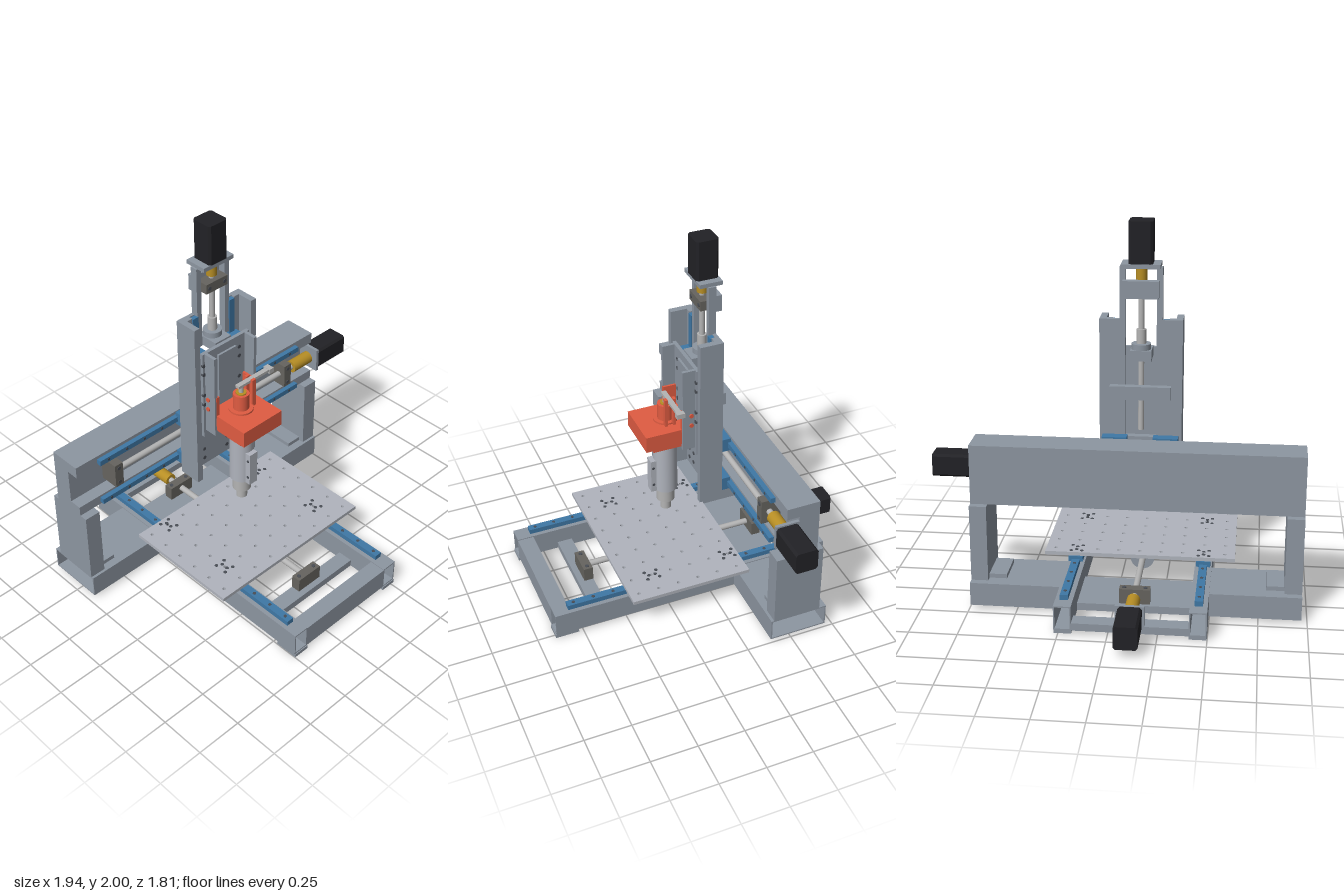
import * as THREE from 'three';

const mat = (color) => new THREE.MeshStandardMaterial({ color });
const M = {
  frame: mat(0x8d96a1), plate: mat(0xb0b4bd), blue: mat(0x3f78a6), black: mat(0x222226),
  gold: mat(0xb88f25), red: mat(0xe05c42), dark: mat(0x66645f), steel: mat(0xb4b4b4), bolt: mat(0x4a4e55),
};
const CX = -0.113; // shared x of the spindle and lead screws

export function createModel() {
  const root = new THREE.Group();

  const add = (name, geo, m) => {
    const mesh = new THREE.Mesh(geo, m);
    mesh.name = name;
    root.add(mesh);
    return mesh;
  };
  // box given by its min and max on each axis
  const box = (name, m, x0, x1, y0, y1, z0, z1) => {
    const b = add(name, new THREE.BoxGeometry(x1 - x0, y1 - y0, z1 - z0), m);
    b.position.set((x0 + x1) / 2, (y0 + y1) / 2, (z0 + z1) / 2);
    return b;
  };
  // cylinder along an axis, from a to b; p and q are the other two coordinates in x, y, z order
  const rod = (name, m, axis, r, a, b, p, q, sides = 24) => {
    const c = add(name, new THREE.CylinderGeometry(r, r, b - a, sides), m);
    const mid = (a + b) / 2;
    if (axis === 'x') { c.rotation.z = Math.PI / 2; c.position.set(mid, p, q); }
    if (axis === 'y') c.position.set(p, mid, q);
    if (axis === 'z') { c.rotation.x = Math.PI / 2; c.position.set(p, q, mid); }
    return c;
  };
  const rectPath = (P, w, h) => {
    const p = new P();
    p.moveTo(-w / 2, -h / 2); p.lineTo(w / 2, -h / 2); p.lineTo(w / 2, h / 2); p.lineTo(-w / 2, h / 2);
    p.closePath();
    return p;
  };
  // open-ended rectangular tube along z, or along x when turned
  const tube = (name, x0, x1, y0, y1, z0, z1, alongX = false, t = 0.007) => {
    const w = alongX ? z1 - z0 : x1 - x0, h = y1 - y0, len = alongX ? x1 - x0 : z1 - z0;
    const s = rectPath(THREE.Shape, w, h);
    s.holes.push(rectPath(THREE.Path, w - 2 * t, h - 2 * t));
    const g = new THREE.ExtrudeGeometry(s, { depth: len, bevelEnabled: false });
    g.translate(0, 0, -len / 2);
    if (alongX) g.rotateY(Math.PI / 2);
    add(name, g, M.frame).position.set((x0 + x1) / 2, (y0 + y1) / 2, (z0 + z1) / 2);
  };
  // stepper motor with chamfered corners, running along +z from its centre before turning
  const motor = (name, len, x, y, z, rx, ry) => {
    const a = 0.061, c = 0.049;
    const s = new THREE.Shape([[a, -c], [a, c], [c, a], [-c, a], [-a, c], [-a, -c], [-c, -a], [c, -a]]
      .map(([u, v]) => new THREE.Vector2(u, v)));
    const g = new THREE.ExtrudeGeometry(s, { depth: len, bevelEnabled: false });
    const m = add(name, g, M.black);
    m.position.set(x, y, z);
    m.rotation.set(rx, ry, 0);
  };

  // base frame: two long tubes with feet, linear rails and carriages
  for (const x of [-0.453, 0.228]) {
    tube('baseRailTube', x - 0.045, x + 0.045, 0.02, 0.15, -0.685, 0.9);
    for (const z of [-0.615, 0.84]) box('footPlate', M.frame, x - 0.045, x + 0.045, 0, 0.02, z - 0.065, z + 0.065);
    box('tableRail', M.blue, x - 0.021, x + 0.021, 0.15, 0.178, -0.61, 0.82);
    for (let i = 0; i < 13; i++) rod('railBolt', M.bolt, 'y', 0.009, 0.17, 0.18, x, -0.56 + i * 0.112, 8);
    for (const z of [-0.11, 0.335]) {
      box('tableCarriage', M.blue, x - 0.038, x + 0.038, 0.165, 0.195, z - 0.065, z + 0.065);
      for (const dx of [-0.028, 0, 0.028]) for (const dz of [-0.034, 0.034])
        rod('tableBolt', M.bolt, 'y', 0.01, 0.2, 0.2165, x + dx, z + dz + (dx ? 0 : Math.sign(dz) * -0.016), 10);
    }
  }
  tube('frontCrossTube', -0.41, 0.185, 0.02, 0.145, 0.81, 0.9, true);
  for (const [z0, z1] of [[0.585, 0.67], [-0.685, -0.6], [-0.455, -0.135]])
    tube('lowCrossTube', -0.41, 0.185, 0.02, 0.06, z0, z1, true);

  // gantry: feet, legs and a channel beam open to the front
  tube('gantryFoot', -0.97, -0.498, 0.02, 0.145, -0.455, -0.135, true);
  tube('gantryFoot', 0.273, 0.745, 0.02, 0.145, -0.455, -0.135, true);
  for (const s of [-1, 1]) {
    const mx = (a, b) => [-0.1125 + s * a, -0.1125 + s * b].sort((p, q) => p - q);
    box('gantryLeg', M.frame, ...mx(0.768, 0.8575), 0.145, 0.557, -0.415, -0.15);
    box('legBracket', M.frame, ...mx(0.675, 0.768), 0.145, 0.168, -0.38, -0.18);
  }
  box('beamBack', M.frame, -0.97, 0.745, 0.557, 0.875, -0.378, -0.265);
  for (const [y0, y1, yr] of [[0.81, 0.875, 0.842], [0.557, 0.612, 0.585]]) {
    box('beamFlange', M.frame, -0.97, 0.745, y0, y1, -0.265, -0.195);
    box('beamRail', M.blue, -0.835, 0.61, yr - 0.015, yr + 0.015, -0.195, -0.168);
    for (let i = 0; i < 12; i++) rod('railBolt', M.bolt, 'z', 0.008, -0.175, -0.166, -0.78 + i * 0.12, yr, 8);
    for (const x of [-0.245, 0.02])
      box('beamCarriage', M.blue, x - 0.065, x + 0.065, yr - 0.038, yr + 0.038, -0.185, -0.13);
  }

  // cross axis drive
  rod('crossScrew', M.steel, 'x', 0.017, -0.75, 0.6, 0.715, -0.2);
  for (const x of [-0.73, 0.513]) {
    box('crossBearing', M.dark, x - 0.026, x + 0.026, 0.645, 0.785, -0.265, -0.155);
    for (const y of [0.67, 0.76]) rod('bearingBolt', M.bolt, 'z', 0.011, -0.16, -0.152, x, y, 10);
  }
  rod('crossCoupler', M.gold, 'x', 0.036, 0.585, 0.725, 0.715, -0.2);
  box('crossMotorMount', M.frame, 0.73, 0.748, 0.645, 0.785, -0.265, -0.135);
  motor('crossMotor', 0.222, 0.745, 0.715, -0.198, 0, Math.PI / 2);
  box('crossNutBlock', M.frame, -0.17, -0.05, 0.67, 0.76, -0.24, -0.13);

  // table axis drive
  rod('tableScrew', M.steel, 'z', 0.017, -0.5, 0.63, CX, 0.105);
  for (const z of [-0.41, 0.61]) {
    box('tableBearing', M.dark, CX - 0.08, CX + 0.08, 0.06, 0.14, z - 0.026, z + 0.026);
    for (const dx of [-0.055, 0.055]) rod('bearingBolt', M.bolt, 'y', 0.011, 0.135, 0.143, CX + dx, z, 10);
  }
  rod('tableCoupler', M.gold, 'z', 0.035, -0.665, -0.48, CX, 0.105);
  box('tableMotorMount', M.frame, CX - 0.075, CX + 0.075, 0.04, 0.168, -0.685, -0.667);
  motor('tableMotor', 0.222, CX, 0.105, -0.683, 0, Math.PI);
  rod('tableNut', M.frame, 'z', 0.065, 0.02, 0.07, CX, 0.115);
  box('tableNutBlock', M.frame, CX - 0.075, CX + 0.075, 0.14, 0.195, 0, 0.1);

  // drilled table plate
  const top = rectPath(THREE.Shape, 1.015, 0.67);
  for (let i = 0; i < 9; i++) for (let j = 0; j < 6; j++) {
    const h = new THREE.Path();
    h.absarc(-0.455 + i * 0.1137, -0.285 + j * 0.1135, 0.0095, 0, Math.PI * 2, true);
    top.holes.push(h);
  }
  const tg = new THREE.ExtrudeGeometry(top, { depth: 0.02, bevelEnabled: false, curveSegments: 5 });
  tg.rotateX(-Math.PI / 2);
  add('tablePlate', tg, M.plate).position.set(CX, 0.195, 0.168);

  // upright: two side channels, lower plate, rails and sliding carriages
  for (const s of [-1, 1]) {
    const mx = (a, b) => [CX + s * a, CX + s * b].sort((p, q) => p - q);
    box('uprightSide', M.frame, ...mx(0.178, 0.213), 0.515, 1.495, -0.13, 0);
    box('uprightLip', M.frame, ...mx(0.145, 0.18), 0.515, 1.495, -0.13, -0.09);
    box('uprightBack', M.frame, ...mx(0.08, 0.213), 0.515, 1.495, -0.13, -0.11);
    box('liftRail', M.blue, ...mx(0.106, 0.143), 0.8, 1.49, -0.11, -0.085);
    for (const y of [0.87, 1.22]) box('liftCarriage', M.blue, ...mx(0.09, 0.158), y - 0.07, y + 0.07, -0.1, -0.02);
    box('upperStrut', M.frame, ...mx(0.08, 0.11), 1.3, 1.765, -0.13, -0.09);
    box('carriageFlange', M.frame, ...mx(0.13, 0.148), 0.84, 1.325, -0.02, 0.07);
    box('clampEar', M.red, ...mx(0.118, 0.138), 0.95, 1.08, 0, 0.072);
    for (const y of [0.99, 1.05]) rod('earBolt', M.red, 'x', 0.012, ...mx(0.14, 0.155), y, 0.022, 10);
    for (const dx of [0.092, 0.155]) {
      for (const y of [1.01, 1.07, 1.2, 1.255]) rod('carriageBolt', M.bolt, 'z', 0.011, -0.01, 0.003, CX + s * dx, y, 10);
      for (const y of [0.56, 0.62, 0.81]) rod('plateBolt', M.bolt, 'z', 0.011, -0.1, -0.087, CX + s * dx * 0.9, y, 10);
    }
  }
  box('uprightPlate', M.frame, -0.325, 0.1, 0.515, 0.87, -0.13, -0.09);
  box('nutCrossPlate', M.frame, -0.27, 0.045, 1.08, 1.15, -0.17, -0.13);
  box('topCrossPlate', M.frame, -0.205, -0.02, 1.61, 1.7, -0.17, -0.13);
  box('carriagePlate', M.frame, -0.275, 0.05, 0.8, 1.325, -0.02, 0);
  box('carriagePanel', M.frame, -0.175, -0.05, 0.9, 1.28, 0, 0.012);

  // lift drive
  rod('liftScrew', M.steel, 'y', 0.015, 0.9, 1.7, CX, -0.1);
  rod('liftNut', M.steel, 'y', 0.025, 1.36, 1.44, CX, -0.1);
  rod('liftNutFlange', M.frame, 'y', 0.05, 1.325, 1.365, CX, -0.1);
  box('liftNutBlock', M.frame, CX - 0.055, CX + 0.055, 1.28, 1.335, -0.15, -0.02);
  box('liftBearing', M.dark, CX - 0.072, CX + 0.072, 1.618, 1.672, -0.13, -0.06);
  for (const dx of [-0.05, 0.05]) rod('bearingBolt', M.bolt, 'z', 0.011, -0.065, -0.057, CX + dx, 1.645, 10);
  rod('liftCoupler', M.gold, 'y', 0.028, 1.69, 1.765, CX, -0.1);
  box('liftMotorMount', M.frame, CX - 0.1, CX + 0.1, 1.763, 1.785, -0.17, -0.045);
  motor('liftMotor', 0.217, CX, 1.783, -0.105, -Math.PI / 2, 0);

  // spindle and its clamp
  const prof = [[0, 0.375], [0.03, 0.375], [0.03, 0.435], [0.05, 0.435], [0.05, 0.515], [0.066, 0.515],
    [0.066, 0.81], [0.056, 0.81], [0.056, 0.85]];
  for (let i = 0; i + 1 < prof.length; i++) { // each step its own surface, for sharp edges
    const g = new THREE.LatheGeometry([prof[i], prof[i + 1]].map((p) => new THREE.Vector2(...p)), 32);
    const m = add('spindle', g, M.steel);
    m.position.set(CX, 0, 0.115);
    m.material = i > 4 ? M.plate : M.steel;
  }
  box('spindleSideBar', M.plate, CX - 0.03, CX + 0.025, 0.515, 0.715, 0.15, 0.207);
  for (const y of [0.56, 0.67]) rod('sideBarHole', M.bolt, 'x', 0.008, CX - 0.032, CX + 0.027, y, 0.193, 10);
  box('clampBlock', M.red, -0.25, 0.023, 0.873, 0.965, -0.005, 0.272);
  box('clampBase', M.red, -0.225, -0.003, 0.84, 0.874, 0, 0.222);
  rod('clampRing', M.red, 'y', 0.066, 0.96, 0.975, CX, 0.11, 32);
  rod('clampNeck', M.red, 'y', 0.043, 0.965, 1.065, CX, 0.11, 32);
  rod('drawbarSleeve', M.gold, 'y', 0.028, 1.06, 1.072, CX, 0.11);
  rod('drawbar', M.steel, 'y', 0.013, 1.06, 1.115, CX, 0.11);
  for (const z of [0.087, 0.133]) box('leverFork', M.red, -0.06, -0.036, 0.96, 1.13, z - 0.008, z + 0.008);
  box('lever', M.steel, -0.14, 0.105, 1.107, 1.122, 0.095, 0.123);
  box('leverGrip', M.steel, 0.075, 0.105, 1.098, 1.125, 0.085, 0.13);

  return root;
}
